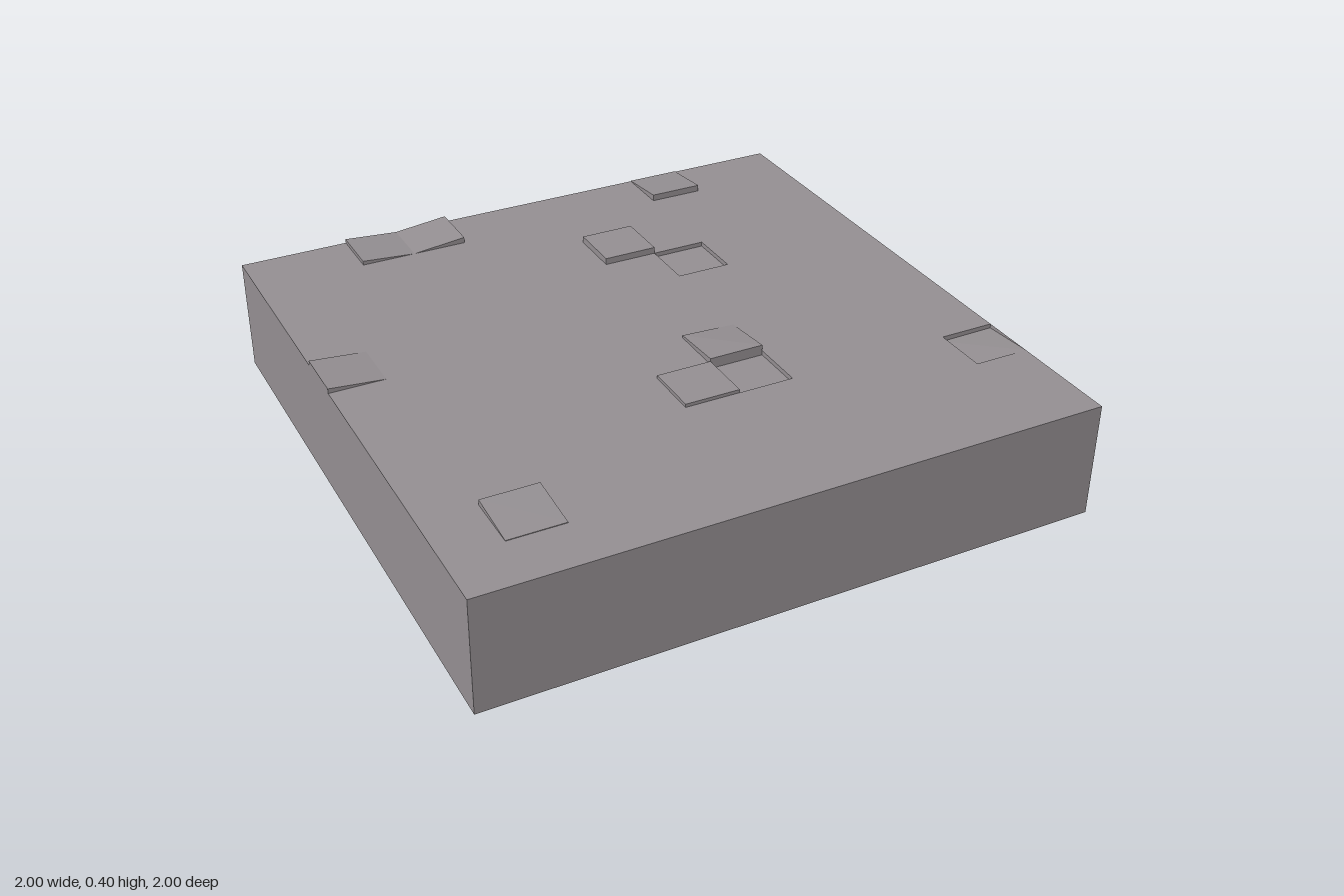
import * as THREE from 'three';

const TOP = 0.38;
const CELL = 2 / 11;
const at = (i) => -1 + i * CELL;

// One grid tile: four corner heights relative to the slab top,
// ordered back-left, front-left, front-right, back-right as seen from above.
// Negative heights turn the walls inward, which makes a recess.
function tileGeometry(i, k, heights) {
  const xz = [[i, k], [i, k + 1], [i + 1, k + 1], [i + 1, k]];
  const low = xz.map(([a, b]) => [at(a), TOP, at(b)]);
  const high = xz.map(([a, b], n) => [at(a), TOP + heights[n], at(b)]);
  const pos = [];
  const tri = (a, b, c) => pos.push(...a, ...b, ...c);
  tri(high[0], high[1], high[2]);
  tri(high[0], high[2], high[3]);
  for (let n = 0; n < 4; n++) {
    const m = (n + 1) % 4;
    if (heights[m] !== 0) tri(low[n], low[m], high[m]);
    if (heights[n] !== 0) tri(low[n], high[m], high[n]);
  }
  const g = new THREE.BufferGeometry();
  g.setAttribute('position', new THREE.Float32BufferAttribute(pos, 3));
  g.computeVertexNormals();
  return g;
}

export function createModel() {
  const group = new THREE.Group();
  group.name = 'stoneFloorBlock';
  const stone = new THREE.MeshStandardMaterial({ color: 0x959093 });
  stone.name = 'greyStone';

  const add = (name, geometry) => {
    const mesh = new THREE.Mesh(geometry, stone);
    mesh.name = name;
    group.add(mesh);
  };

  // Slab sides and underside: a box with its top face removed
  const body = new THREE.BoxGeometry(2, TOP, 2);
  body.translate(0, TOP / 2, 0);
  const index = Array.from(body.index.array);
  index.splice(12, 6);
  body.setIndex(index);
  body.clearGroups();
  add('slabBody', body);

  // Slab top, with a notch at the edge and holes for the recessed tiles
  const pts = (list) => list.map(([x, z]) => new THREE.Vector2(x, -z));
  const outline = new THREE.Shape(pts([
    [-1, 1], [1, 1], [1, at(9)], [at(10), at(9)], [at(10), at(8)], [1, at(8)], [1, -1], [-1, -1],
  ]));
  for (const [i, k] of [[7, 3], [6, 7]]) {
    outline.holes.push(new THREE.Path(pts([
      [at(i), at(k)], [at(i + 1), at(k)], [at(i + 1), at(k + 1)], [at(i), at(k + 1)],
    ])));
  }
  const surface = new THREE.ShapeGeometry(outline);
  surface.rotateX(-Math.PI / 2);
  surface.translate(0, TOP, 0);
  add('slabTop', surface);

  // Raised, tilted and sunken tiles: name, column, row, corner heights
  const tiles = [
    ['tiltedTileBackLeft', 2, 0, [0.014, 0.014, 0, 0]],
    ['tiltedTileBackMiddle', 3, 0, [0, 0, 0.02, 0.02]],
    ['tiltedTileBackRight', 8, 0, [0.002, 0.022, 0.022, 0.002]],
    ['raisedTileBack', 6, 2, [0.022, 0.022, 0.022, 0.022]],
    ['sunkenTileBack', 7, 3, [-0.015, -0.015, -0.015, -0.015]],
    ['tiltedTileSide', 0, 4, [0.016, 0.016, 0, 0]],
    ['tiltedTileCentre', 6, 6, [0.008, 0.02, 0.02, 0]],
    ['sunkenTileFront', 6, 7, [-0.015, -0.015, -0.015, -0.015]],
    ['raisedTileFront', 5, 7, [0.011, 0.011, 0.011, 0.011]],
    ['sunkenTileEdge', 10, 8, [-0.016, -0.01, 0, -0.014]],
    ['tiltedTileFront', 1, 9, [0.018, 0.002, 0.002, 0.018]],
  ];
  for (const [name, i, k, heights] of tiles) add(name, tileGeometry(i, k, heights));

  return group;
}
